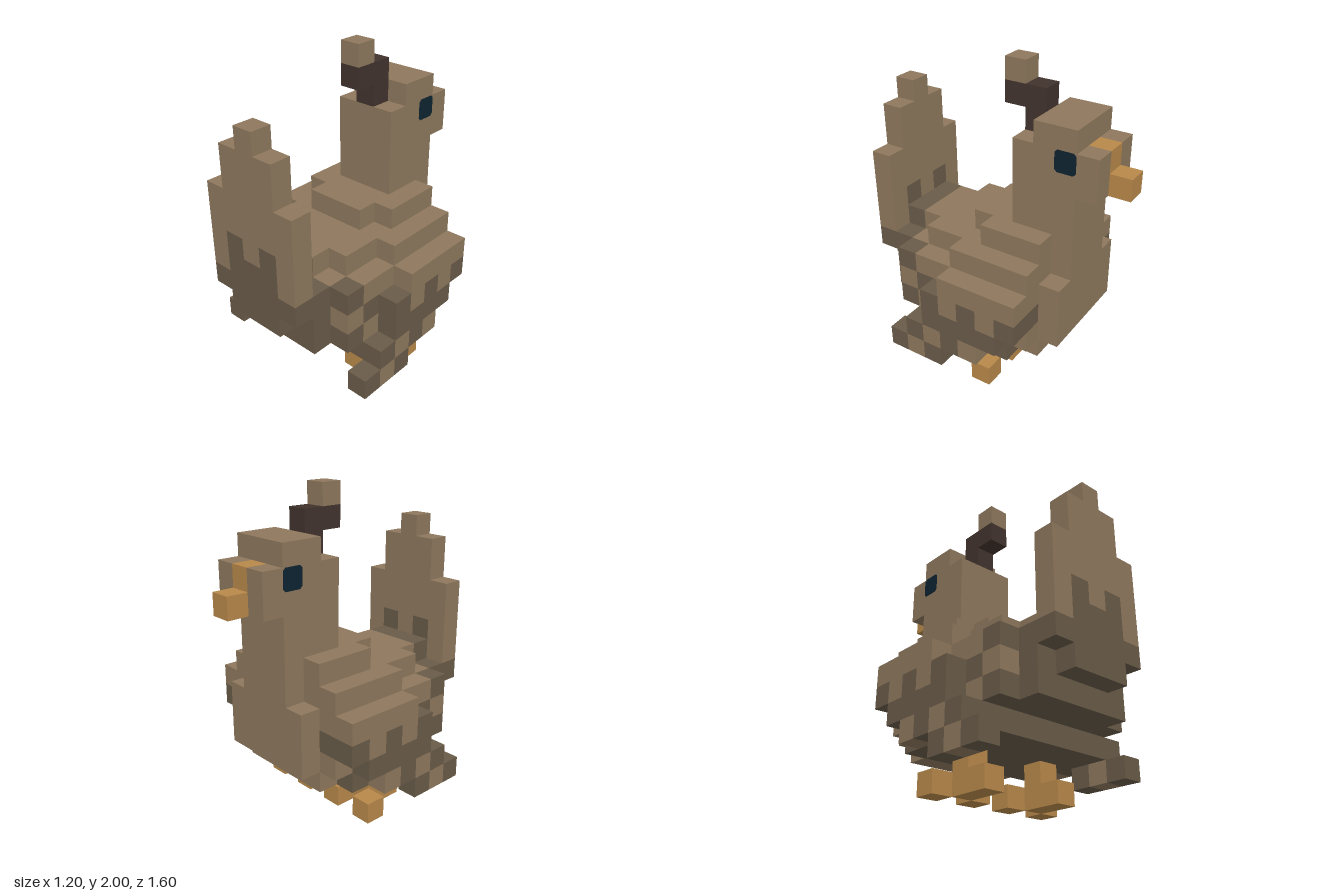
import * as THREE from 'three';

const U = 2 / 15; // edge of one block

const mat = (name, color) => {
  const m = new THREE.MeshStandardMaterial({ color });
  m.name = name;
  return m;
};

export function createModel() {
  const group = new THREE.Group();
  const mats = {
    L: mat('light feather', 0x8e785d),
    D: mat('dark feather', 0x695b48),
    O: mat('orange', 0xb8884a),
    K: mat('dark crest', 0x41332d),
    E: mat('eye', 0x0e2431),
  };

  // Block store: column x (-4..4), row y (0..14), slice z (-6..5)
  const cells = new Map();
  const key = (x, y, z) => `${x},${y},${z}`;
  const fill = (part, colour, [x0, x1], [y0, y1], [z0, z1]) => {
    for (let x = x0; x <= x1; x++)
      for (let y = y0; y < y1; y++)
        for (let z = z0; z < z1; z++) {
          const c = typeof colour === 'function' ? colour(x, y, z) : colour;
          for (const s of [-1, 1]) cells.set(key(s * x, y, z), { part, c, x: s * x, y, z });
        }
  };

  // Plumage pattern on the flanks, one string per row, slices -3 to 4
  const flank = { 1: 'LLLLDLDD', 2: 'LDLDLDDD', 3: 'LDDDDLDD', 4: 'DLDLDDLD', 5: 'LLLLLLDD' };
  const flankColour = (x, y, z) => flank[y][z + 3];
  const bellyColour = (x, y, z) => (z < -2 ? 'L' : 'D');

  // Body
  fill('body', 'L', [0, 2], [3, 6], [-3, 4]);
  fill('body', flankColour, [3, 3], [3, 6], [-3, 4]);
  fill('body', bellyColour, [0, 2], [2, 3], [-3, 3]);
  fill('body', bellyColour, [3, 3], [2, 3], [-2, 3]);
  fill('body', 'D', [0, 2], [3, 4], [3, 4]);
  fill('body', 'D', [0, 2], [3, 6], [4, 5]);

  // Stepped back
  fill('back', 'L', [0, 3], [6, 7], [-3, 1]);
  fill('back', 'L', [0, 2], [6, 7], [1, 3]);
  fill('back', 'L', [0, 1], [6, 7], [3, 4]);
  fill('back', 'D', [0, 1], [6, 7], [4, 5]);
  fill('back', 'L', [0, 2], [7, 8], [-3, 0]);
  fill('back', 'L', [0, 1], [7, 8], [0, 1]);

  // Wings, each row swept further back towards the tip
  const wingRows = [[1, 1, 4], [2, -1, 3], [3, -2, 2], [4, -3, 2], [5, -3, 1]];
  for (const [y, z0, z1] of wingRows) fill('wings', flankColour, [4, 4], [y, y + 1], [z0, z1]);

  // Tail fan: column, bottom, end of dark base, top
  for (const [x, y0, yd, y1] of [[0, 4, 7, 13], [1, 4, 8, 12], [2, 5, 6, 10]]) {
    fill('tail', 'D', [x, x], [y0, yd], [5, 6]);
    fill('tail', 'L', [x, x], [yd, y1], [5, 6]);
  }

  // Chest, neck and head
  fill('chest', 'L', [0, 2], [3, 6], [-4, -3]);
  fill('neck', 'L', [0, 1], [6, 10], [-4, -1]);
  fill('head', 'L', [0, 1], [10, 12], [-5, -1]);
  fill('head', 'L', [0, 1], [12, 13], [-4, -2]);
  fill('beak', 'O', [0, 0], [10, 11], [-6, -5]);
  fill('beak', 'O', [0, 0], [11, 12], [-5, -4]);

  // Crest
  fill('crest', 'K', [0, 0], [12, 13], [-2, -1]);
  fill('crest', 'K', [0, 0], [13, 14], [-2, 0]);
  fill('crest', 'L', [0, 0], [14, 15], [-1, 0]);

  // Legs and toes
  fill('legs', 'O', [2, 2], [1, 2], [0, 1]);
  fill('feet', 'O', [2, 2], [0, 1], [0, 2]);
  for (const x of [1, 3]) fill('feet', 'O', [x, x], [0, 1], [-1, 0]);

  // Outer faces only, gathered by part and colour
  const buckets = new Map();
  for (const { part, c, x, y, z } of cells.values()) {
    const id = `${part}|${c}`;
    if (!buckets.has(id)) buckets.set(id, { pos: [], nor: [] });
    const { pos, nor } = buckets.get(id);
    const centre = new THREE.Vector3(x, y + 0.5, z + 0.5);
    for (let axis = 0; axis < 3; axis++)
      for (const s of [-1, 1]) {
        const n = new THREE.Vector3().setComponent(axis, s);
        if (cells.has(key(x + n.x, y + n.y, z + n.z))) continue;
        const a = new THREE.Vector3().setComponent((axis + 1) % 3, 0.5);
        const b = new THREE.Vector3().crossVectors(n, a);
        for (const [i, j] of [[-1, -1], [1, -1], [1, 1], [-1, -1], [1, 1], [-1, 1]]) {
          const p = centre.clone().addScaledVector(n, 0.5).addScaledVector(a, i).addScaledVector(b, j);
          pos.push(p.x * U, p.y * U, p.z * U);
          nor.push(n.x, n.y, n.z);
        }
      }
  }
  const parts = {};
  for (const [id, { pos, nor }] of buckets) {
    if (!pos.length) continue;
    const [part, c] = id.split('|');
    if (!parts[part]) {
      parts[part] = new THREE.Group();
      parts[part].name = part;
      group.add(parts[part]);
    }
    const geo = new THREE.BufferGeometry();
    geo.setAttribute('position', new THREE.Float32BufferAttribute(pos, 3));
    geo.setAttribute('normal', new THREE.Float32BufferAttribute(nor, 3));
    const mesh = new THREE.Mesh(geo, mats[c]);
    mesh.name = `${part}, ${mats[c].name}`;
    parts[part].add(mesh);
  }

  // Eyes: thin plates with clipped corners
  const h = U / 2, k = h * 0.75;
  const outline = [[-k, -h], [k, -h], [h, -k], [h, k], [k, h], [-k, h], [-h, k], [-h, -k]];
  const eyeShape = new THREE.Shape(outline.map(([x, y]) => new THREE.Vector2(x, y)));
  for (const s of [-1, 1]) {
    const eye = new THREE.Mesh(new THREE.ShapeGeometry(eyeShape), mats.E);
    eye.name = s > 0 ? 'leftEye' : 'rightEye';
    eye.rotation.y = (s * Math.PI) / 2;
    eye.position.set(s * (1.5 * U + 0.002), 11.5 * U, -3.5 * U);
    group.add(eye);
  }
  return group;
}
